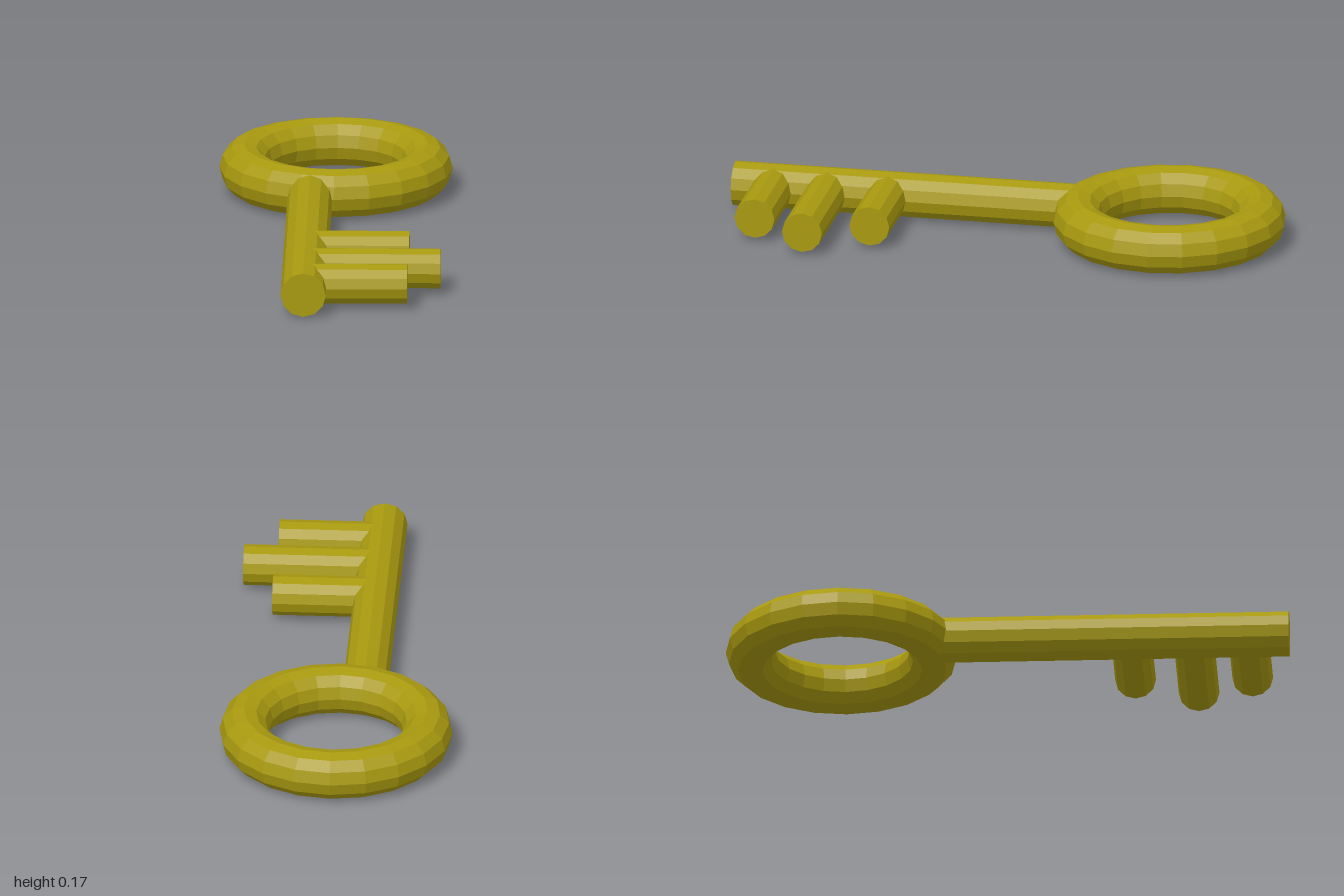
import * as THREE from 'three';

export function createModel() {
  const key = new THREE.Group();
  key.name = 'key';
  const brass = new THREE.MeshStandardMaterial({ color: 0xa8990f, flatShading: true });

  const add = (name, geometry, x, y, z) => {
    const mesh = new THREE.Mesh(geometry, brass);
    mesh.name = name;
    mesh.position.set(x, y, z);
    key.add(mesh);
  };

  // Ring handle lying flat
  add('ringHandle', new THREE.TorusGeometry(0.326, 0.087, 12, 20).rotateX(Math.PI / 2), 0, 0.09, -0.587);

  // Shaft, its back end buried in the ring
  const shaftX = -0.085, shaftBack = -0.28, shaftFront = 1;
  const shaftLength = shaftFront - shaftBack;
  add('shaft', new THREE.CylinderGeometry(0.08, 0.08, shaftLength, 12).rotateX(Math.PI / 2),
    shaftX, 0.085, (shaftBack + shaftFront) / 2);

  // Three teeth pointing left from the shaft, the middle one longer
  [[0.44, 0.28], [0.66, 0.395], [0.855, 0.28]].forEach(([z, tipX], i) => {
    const length = tipX - shaftX;
    add(`tooth${i + 1}`, new THREE.CylinderGeometry(0.072, 0.072, length, 12).rotateZ(Math.PI / 2),
      shaftX + length / 2, 0.086, z);
  });

  return key;
}
